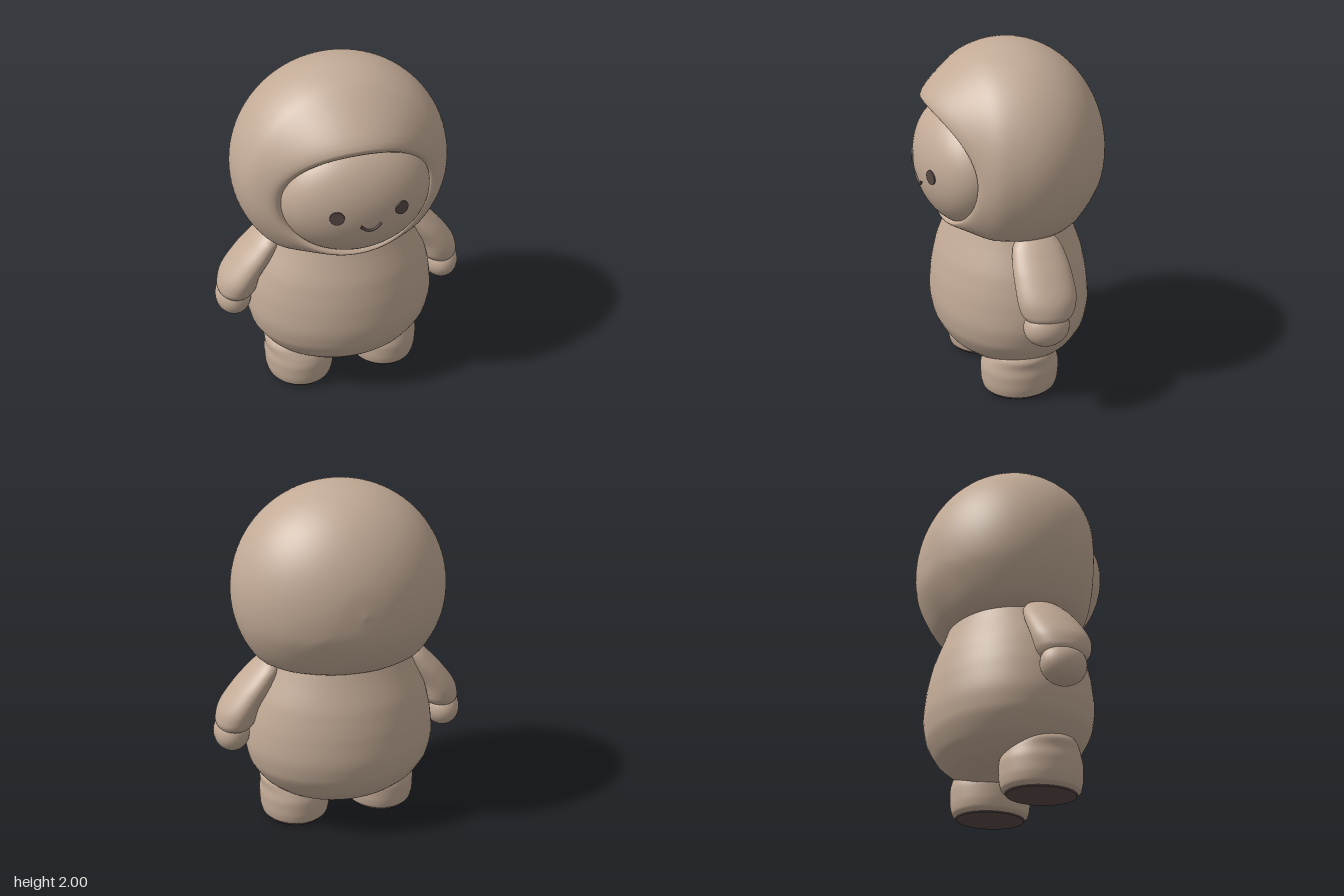
import * as THREE from 'three';

const tan = new THREE.MeshStandardMaterial({ color: 0xc2aa96 });
tan.name = 'warm tan';
const dark = new THREE.MeshStandardMaterial({ color: 0x584a47 });
dark.name = 'dark brown';

// Smooth closed grid: point(i, angle) gives rows of a wrapped surface
function gridSurface(rows, cols, point) {
  const pos = [], index = [];
  for (let i = 0; i < rows; i++) {
    for (let j = 0; j < cols; j++) {
      const p = point(i / (rows - 1), (j / cols) * Math.PI * 2);
      pos.push(p.x, p.y, p.z);
      if (i === rows - 1) continue;
      const a = i * cols + j, b = i * cols + (j + 1) % cols;
      index.push(a, a + cols, b, b, a + cols, b + cols);
    }
  }
  const g = new THREE.BufferGeometry();
  g.setAttribute('position', new THREE.Float32BufferAttribute(pos, 3));
  g.setIndex(index);
  g.computeVertexNormals();
  return g;
}

// Horizontal elliptical sections [y, centreX, radiusX, radiusZ], from bottom to top
function loft(sections, rows = 40, cols = 56) {
  const centre = new THREE.CatmullRomCurve3(sections.map(s => new THREE.Vector3(s[1], s[0], 0)));
  const radii = new THREE.CatmullRomCurve3(sections.map(s => new THREE.Vector3(s[2], 0, s[3])));
  return gridSurface(rows, cols, (t, a) => {
    const c = centre.getPoint(t), r = radii.getPoint(t);
    return new THREE.Vector3(c.x + Math.max(0, r.x) * Math.cos(a), c.y, Math.max(0, r.z) * Math.sin(a));
  });
}

function makeHood() {
  const cols = 96;
  const profiles = new Map();
  const profile = a => {
    if (profiles.has(a)) return profiles.get(a);
    const c = Math.cos(a), s = -Math.sin(a);
    const pts = [];
    // Rounded back and crown, flattened under the chin
    for (let k = 0; k <= 8; k++) {
      const phi = Math.PI + (1.1 - Math.PI) * (k / 8);
      let y = 1.4 + 0.6 * Math.sin(phi) * s;
      let z = 0.525 * Math.cos(phi);
      if (z < 0) z *= 1 - 0.35 * Math.max(0, 1.25 - y);
      if (y < 1.06) y = 0.97 + 0.09 * Math.exp((y - 1.06) / 0.09);
      pts.push(new THREE.Vector3(0.605 * Math.sin(phi) * c, y, z));
    }
    // Rolled lip around the face opening
    const z = 0.315 + (s > 0 ? 0.16 : 0.08) * s * s;
    pts.push(new THREE.Vector3(0.435 * c, 1.365 + 0.35 * s, z));
    pts.push(new THREE.Vector3(0.01 + 0.39 * c, 1.358 + 0.31 * s, z - 0.035));
    pts.push(new THREE.Vector3(0.01 + 0.36 * c, 1.358 + 0.28 * s, z - 0.13));
    const curve = new THREE.CatmullRomCurve3(pts, false, 'centripetal');
    profiles.set(a, curve);
    return curve;
  };
  return gridSurface(72, cols, (t, a) => profile(a).getPoint(t));
}

// Face ellipsoid, shared by the face details
const faceCentre = new THREE.Vector3(0.01, 1.355, 0.28);
const faceRadii = new THREE.Vector3(0.415, 0.345, 0.248);
function onFace(x, y, lift = 0) {
  const u = (x - faceCentre.x) / faceRadii.x, v = (y - faceCentre.y) / faceRadii.y;
  const w = Math.sqrt(1 - u * u - v * v);
  const normal = new THREE.Vector3(u / faceRadii.x, v / faceRadii.y, w / faceRadii.z).normalize();
  const point = new THREE.Vector3(x, y, faceCentre.z + w * faceRadii.z).addScaledVector(normal, lift);
  return { point, normal };
}

export function createModel() {
  const model = new THREE.Group();
  model.name = 'hoodedFigure';
  const add = (name, geometry, material = tan, x = 0, y = 0, z = 0) => {
    const mesh = new THREE.Mesh(geometry, material);
    mesh.name = name;
    mesh.position.set(x, y, z);
    model.add(mesh);
    return mesh;
  };

  add('hood', makeHood());
  add('face', new THREE.SphereGeometry(1, 56, 40), tan, ...faceCentre.toArray()).scale.copy(faceRadii);

  // Eyes and smile
  for (const [name, x] of [['rightEye', -0.155], ['leftEye', 0.2]]) {
    const { point, normal } = onFace(x, 1.35, 0.001);
    const eye = add(name, new THREE.CylinderGeometry(0.039, 0.04, 0.008, 24), dark, ...point.toArray());
    eye.quaternion.setFromUnitVectors(new THREE.Vector3(0, 1, 0), normal);
  }
  const smile = [];
  for (let k = 0; k <= 8; k++) {
    const u = k / 4 - 1;
    smile.push(onFace(0.025 + 0.058 * u, 1.25 + 0.04 * u * u, 0.001).point);
  }
  add('smile', new THREE.TubeGeometry(new THREE.CatmullRomCurve3(smile), 24, 0.008, 8), dark);

  // Pear-shaped body
  const body = [
    [0.155, 0], [0.16, 0.2], [0.205, 0.36], [0.28, 0.46], [0.39, 0.53], [0.51, 0.55],
    [0.65, 0.537], [0.8, 0.5], [0.95, 0.435], [1.06, 0.39],
  ];
  add('body', loft(body.map(([y, r]) => [y, 0, r, r * 0.82]), 56, 72));

  for (const s of [1, -1]) {
    const side = s > 0 ? 'left' : 'right';

    // Sleeve bent outward, with a rounded cuff
    const sleeve = [
      [0.64, 0.62, 0.04, 0.05], [0.63, 0.62, 0.085, 0.115], [0.67, 0.612, 0.113, 0.15],
      [0.75, 0.59, 0.113, 0.165], [0.87, 0.51, 0.105, 0.16], [0.97, 0.435, 0.085, 0.137],
      [1.025, 0.4, 0.055, 0.09], [1.042, 0.385, 0, 0],
    ];
    add(side + 'Sleeve', loft(sleeve.map(([y, c, rx, rz]) => [y, c * s, rx, rz])), tan, 0, 0, -0.015 * s);
    add(side + 'Hand', new THREE.SphereGeometry(1, 32, 24), tan, 0.633 * s, 0.585, 0)
      .scale.set(0.103, 0.112, 0.128);

    // Stubby foot with a dark sole
    const footZ = s > 0 ? 0.022 : 0.06;
    const foot = [
      [0.008, 0.265, 0.165, 0.19], [0.028, 0.265, 0.193, 0.215], [0.08, 0.266, 0.204, 0.226],
      [0.15, 0.267, 0.206, 0.228], [0.21, 0.272, 0.194, 0.215], [0.26, 0.29, 0.178, 0.19],
      [0.33, 0.29, 0.12, 0.15],
    ];
    add(side + 'Foot', loft(foot.map(([y, c, rx, rz]) => [y, c * s, rx, rz]), 32), tan, 0, 0, footZ);
    add(side + 'Sole', new THREE.CylinderGeometry(1, 0.97, 0.009, 48), dark, 0.265 * s, 0.0045, footZ)
      .scale.set(0.172, 1, 0.196);
  }
  return model;
}
